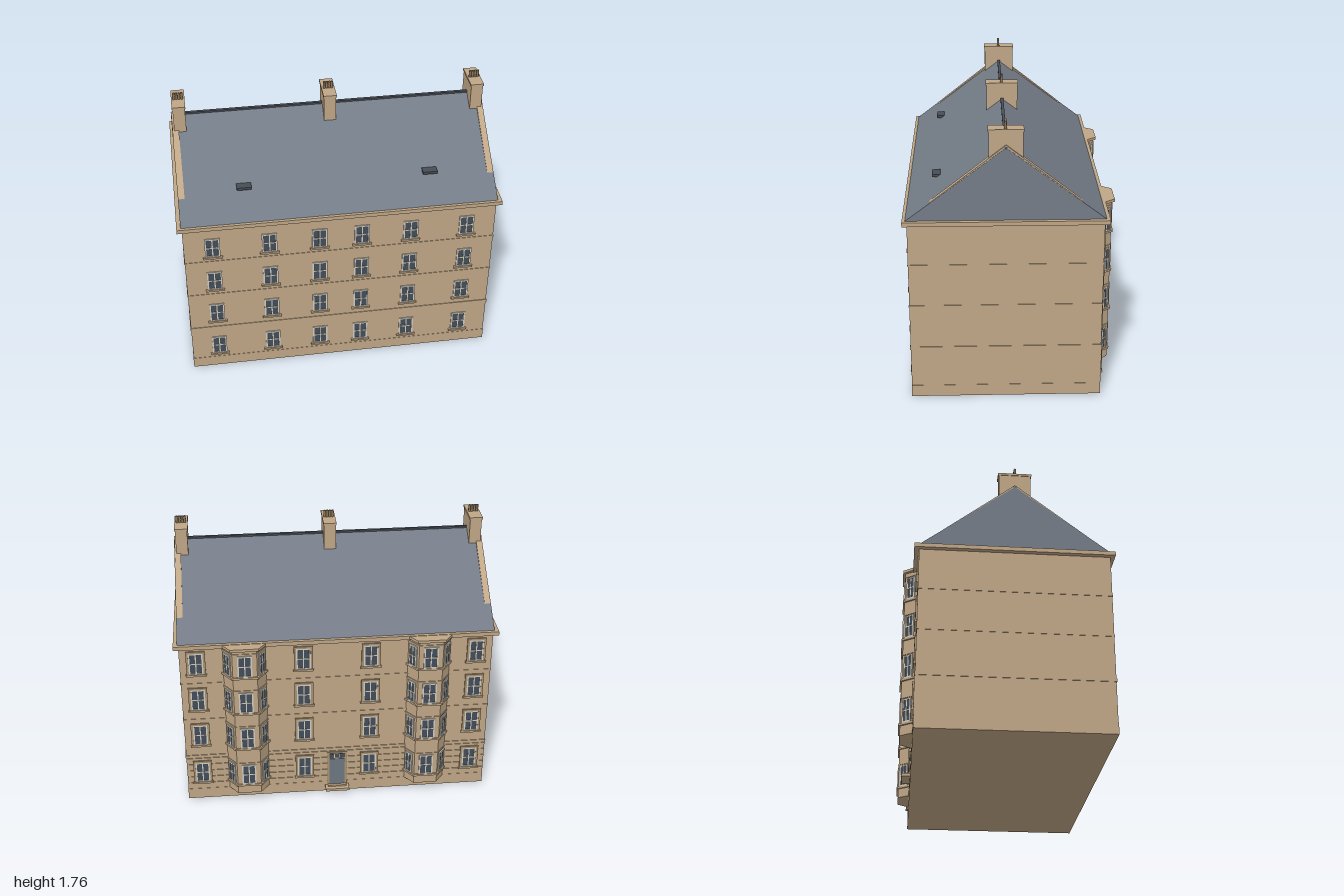
import * as THREE from 'three';

const mat = (name, color) => {
  const m = new THREE.MeshStandardMaterial({ color });
  m.name = name;
  return m;
};
const stone = mat('sandstone', 0xc0a787);
const margin = mat('shadedStone', 0xa8906f);
const slate = mat('slate', 0x747c87);
const glass = mat('windowGlass', 0x434d59);
const paint = mat('framePaint', 0xd2cdc0);
const dark = mat('darkLead', 0x474d56);
const doorPaint = mat('doorPaint', 0x6d7682);
const clay = mat('chimneyPotClay', 0x8a7459);

const FRONT = 0.605, BACK = -0.545, HALF = 0.97, MID = (FRONT + BACK) / 2;
const ROWS = [0.11, 0.392, 0.658, 0.92];

function add(parent, name, geo, material) {
  const m = new THREE.Mesh(geo, material);
  m.name = name;
  parent.add(m);
  return m;
}

// box given by its extents on each axis
function box(parent, name, material, x0, x1, y0, y1, z0, z1) {
  const m = add(parent, name, new THREE.BoxGeometry(x1 - x0, y1 - y0, z1 - z0), material);
  m.position.set((x0 + x1) / 2, (y0 + y1) / 2, (z0 + z1) / 2);
  return m;
}

// belt running round the whole body
function belt(parent, name, y0, y1, out) {
  box(parent, name, stone, -HALF - out, HALF + out, y0, y1, BACK - out, FRONT + out);
}

// prism along x from a list of [z, y] points
function prismX(parent, name, material, pts, x0, x1) {
  const shape = new THREE.Shape(pts.map(([z, y]) => new THREE.Vector2(-z, y)));
  const geo = new THREE.ExtrudeGeometry(shape, { depth: x1 - x0, bevelEnabled: false });
  geo.rotateY(Math.PI / 2).translate(x0, 0, 0);
  return add(parent, name, geo, material);
}

// canted prism projecting from the back wall
function bayPrism(parent, name, base, face, depth, y0, y1, root = 0.54) {
  const shape = new THREE.Shape([[-base, root], [base, root], [face, depth], [-face, depth]]
    .map(p => new THREE.Vector2(...p)));
  const geo = new THREE.ExtrudeGeometry(shape, { depth: y1 - y0, bevelEnabled: false });
  geo.rotateX(-Math.PI / 2).translate(0, y0, 0);
  return add(parent, name, geo, stone);
}

function rectPath(T, x0, x1, y0, y1) {
  const p = new T();
  p.moveTo(x0, y0);
  p.lineTo(x1, y0);
  p.lineTo(x1, y1);
  p.lineTo(x0, y1);
  p.closePath();
  return p;
}

// four-pane sash facing +z, bottom centre at the origin
function sashWindow(w, h, { sill = 0, surround = 0 } = {}) {
  const g = new THREE.Group();
  g.name = 'window';
  const edge = 0.009, bar = 0.0035, a = w / 2;
  const frame = rectPath(THREE.Shape, -a, a, 0, h);
  for (const [x0, x1] of [[-a + edge, -bar], [bar, a - edge]])
    for (const [y0, y1] of [[edge, h / 2 - bar], [h / 2 + bar, h - edge]])
      frame.holes.push(rectPath(THREE.Path, x0, x1, y0, y1));
  add(g, 'windowFrame', new THREE.ExtrudeGeometry(frame, { depth: 0.007, bevelEnabled: false }), paint);
  box(g, 'windowPane', glass, -a + 0.003, a - 0.003, 0.003, h - 0.003, -0.002, 0.004);
  if (surround) {
    const s = rectPath(THREE.Shape, -a - surround, a + surround, -0.004, h + surround);
    s.holes.push(rectPath(THREE.Path, -a, a, 0, h));
    add(g, 'windowSurround', new THREE.ExtrudeGeometry(s, { depth: 0.009, bevelEnabled: false }), margin);
  }
  if (sill) box(g, 'windowSill', stone, -sill / 2, sill / 2, -0.012, 0.001, -0.003, 0.013);
  return g;
}

function place(parent, obj, x, y, z, ry = 0) {
  obj.position.set(x, y, z);
  obj.rotation.y = ry;
  parent.add(obj);
}

function buildBay(x) {
  const bay = new THREE.Group();
  bay.name = 'bayWindow';
  bayPrism(bay, 'bayWall', 0.135, 0.075, 0.62, 0.075, 1.145);
  bayPrism(bay, 'bayCornice', 0.157, 0.086, 0.635, 1.145, 1.163);
  for (const y of ROWS) {
    bayPrism(bay, 'baySill', 0.147, 0.082, 0.63, y + 0.025, y + 0.038);
    bayPrism(bay, 'bayLintel', 0.139, 0.077, 0.624, y + 0.196, y + 0.203);
    place(bay, sashWindow(0.09, 0.15), 0, y + 0.038, -0.62, Math.PI);
    for (const s of [-1, 1])
      place(bay, sashWindow(0.062, 0.15), s * 0.105, y + 0.038, -0.5825, Math.atan2(s * 0.075, -0.06));
  }
  bay.position.x = x;
  return bay;
}

function buildChimney(x) {
  const c = new THREE.Group();
  c.name = 'chimney';
  box(c, 'chimneyStack', stone, -0.037, 0.037, 1.48, 1.7, -0.068, 0.128);
  box(c, 'chimneyCap', stone, -0.041, 0.041, 1.698, 1.712, -0.073, 0.133);
  for (let i = 0; i < 4; i++) {
    const pot = add(c, 'chimneyPot', new THREE.CylinderGeometry(0.0075, 0.0085, 0.045, 10), clay);
    pot.position.set(-0.024 + i * 0.016, 1.733, 0.033);
  }
  c.position.x = x;
  return c;
}

export function createModel() {
  const root = new THREE.Group();
  root.name = 'tenementBuilding';

  // walls and belts
  box(root, 'walls', stone, -HALF, HALF, 0, 1.15, BACK, FRONT);
  belt(root, 'plinth', 0, 0.075, 0.002);
  belt(root, 'bandCourse', 0.322, 0.342, 0.004);
  for (const y of [0.61, 0.875]) belt(root, 'stringCourse', y, y + 0.01, 0.003);
  box(root, 'eavesCornice', stone, -1, 1, 1.14, 1.166, -0.574, 0.632);

  // banded masonry on the entrance floor
  for (let i = 0; i < 5; i++) {
    const y = 0.08 + i * 0.0485;
    box(root, 'stoneCourse', stone, -HALF, HALF, y, y + 0.043, BACK - 0.004, MID);
  }

  // roof with ridge, skews, skylights and chimneys
  prismX(root, 'roof', slate, [[0.615, 1.165], [0.03, 1.608], [-0.555, 1.165]], -0.975, 0.975);
  box(root, 'ridge', dark, -0.975, 0.975, 1.598, 1.613, 0.021, 0.039);
  for (const s of [-1, 1]) {
    const x = s * 0.954;
    prismX(root, 'skew', stone, [[0.47, 1.277], [0.03, 1.622], [-0.41, 1.277]], x - 0.019, x + 0.019);
    box(root, 'skylight', dark, s * 0.574 - 0.045, s * 0.574 + 0.045, 1.3, 1.317, 0.41, 0.465);
  }
  for (const x of [-0.925, 0, 0.925]) root.add(buildChimney(x));

  // front windows
  for (const y of ROWS)
    for (const x of [-0.795, -0.445, -0.135, 0.13, 0.437, 0.79])
      place(root, sashWindow(0.094, 0.14, { sill: 0.12 }), x, y, FRONT);

  // back windows and bays
  ROWS.forEach((y, i) => {
    for (const x of [-0.87, -0.21, 0.21, 0.87])
      place(root, sashWindow(0.09, 0.15, { sill: 0.13, surround: 0.014 }),
        x, y + (i ? 0.03 : 0.025), BACK - (i ? 0 : 0.004), Math.PI);
  });
  for (const s of [-1, 1]) root.add(buildBay(s * 0.573));

  // entrance
  const entrance = new THREE.Group();
  entrance.name = 'entrance';
  box(entrance, 'doorSurround', margin, -0.066, 0.066, 0.05, 0.312, -0.002, 0.007);
  box(entrance, 'door', doorPaint, -0.05, 0.05, 0.05, 0.26, 0, 0.01);
  box(entrance, 'fanlight', glass, -0.05, 0.05, 0.268, 0.3, 0, 0.009);
  for (const x of [-0.017, 0.017])
    box(entrance, 'fanlightBar', paint, x - 0.002, x + 0.002, 0.268, 0.3, 0, 0.011);
  box(entrance, 'upperStep', stone, -0.06, 0.06, 0.046, 0.058, 0, 0.026);
  box(entrance, 'lowerStep', stone, -0.077, 0.077, 0.03, 0.048, 0, 0.052);
  place(root, entrance, 0, 0, BACK - 0.003, Math.PI);

  return root;
}
